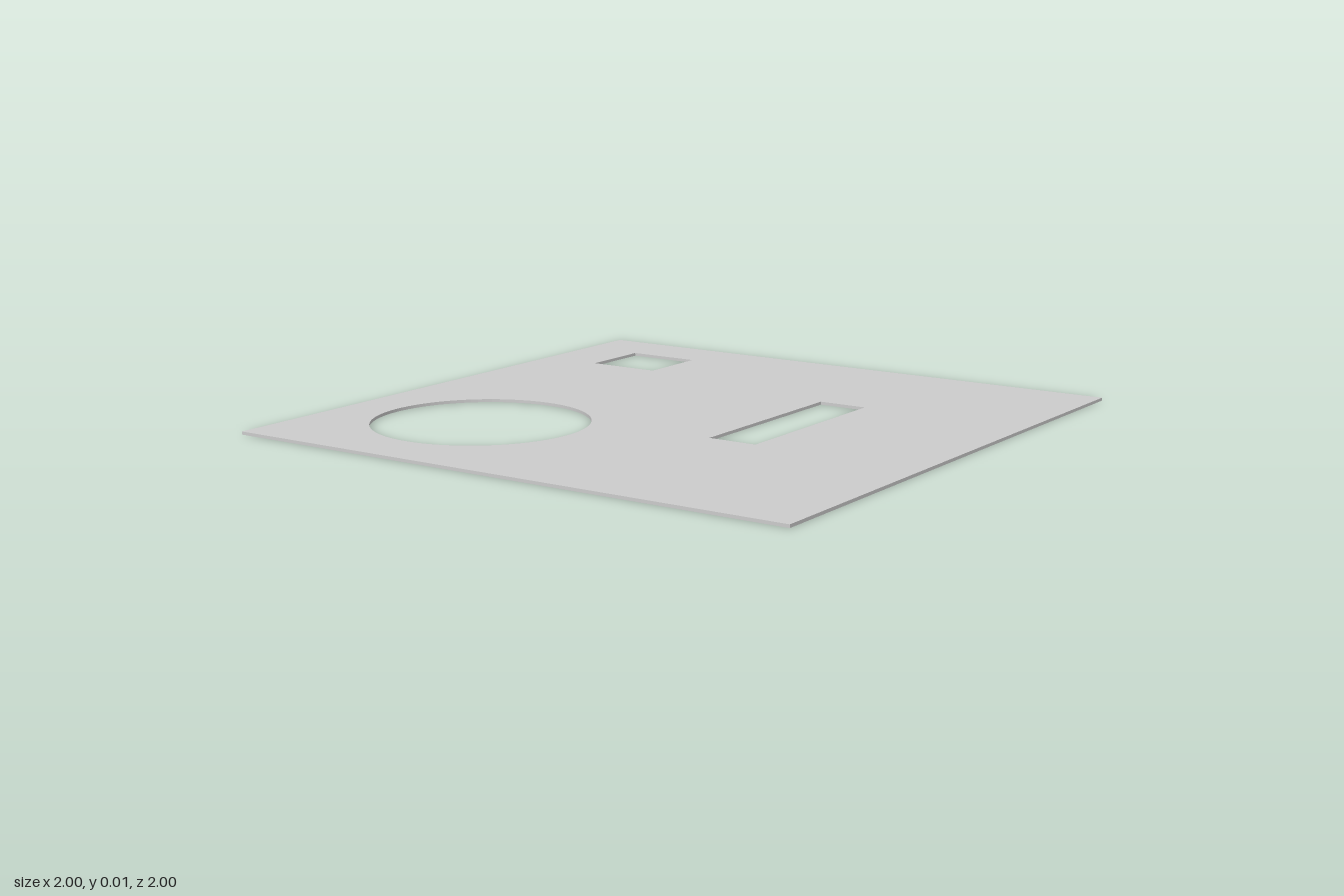
import * as THREE from 'three';

const THICKNESS = 0.01;

// Rectangular outline given by its x and z limits (shape y is -z)
function rect(Type, x0, x1, z0, z1) {
  const path = new Type();
  path.moveTo(x0, -z1);
  path.lineTo(x1, -z1);
  path.lineTo(x1, -z0);
  path.lineTo(x0, -z0);
  path.closePath();
  return path;
}

export function createModel() {
  const group = new THREE.Group();
  group.name = 'perforatedSheet';

  // Square sheet with a square hole, a slot and a round hole
  const outline = rect(THREE.Shape, -1, 1, -1, 1);
  const roundHole = new THREE.Path().absarc(-0.482, -0.464, 0.352, 0, Math.PI * 2, true);
  outline.holes.push(
    rect(THREE.Path, -0.785, -0.527, -0.802, -0.55),
    rect(THREE.Path, 0.254, 0.421, -0.412, 0.257),
    roundHole
  );

  // Extrude upward from the ground
  const geometry = new THREE.ExtrudeGeometry(outline, {
    depth: THICKNESS,
    bevelEnabled: false,
    curveSegments: 48,
  });
  geometry.rotateX(-Math.PI / 2);

  const plate = new THREE.Mesh(geometry, new THREE.MeshStandardMaterial({ color: 0xcccccc }));
  plate.name = 'plate';
  group.add(plate);
  return group;
}
